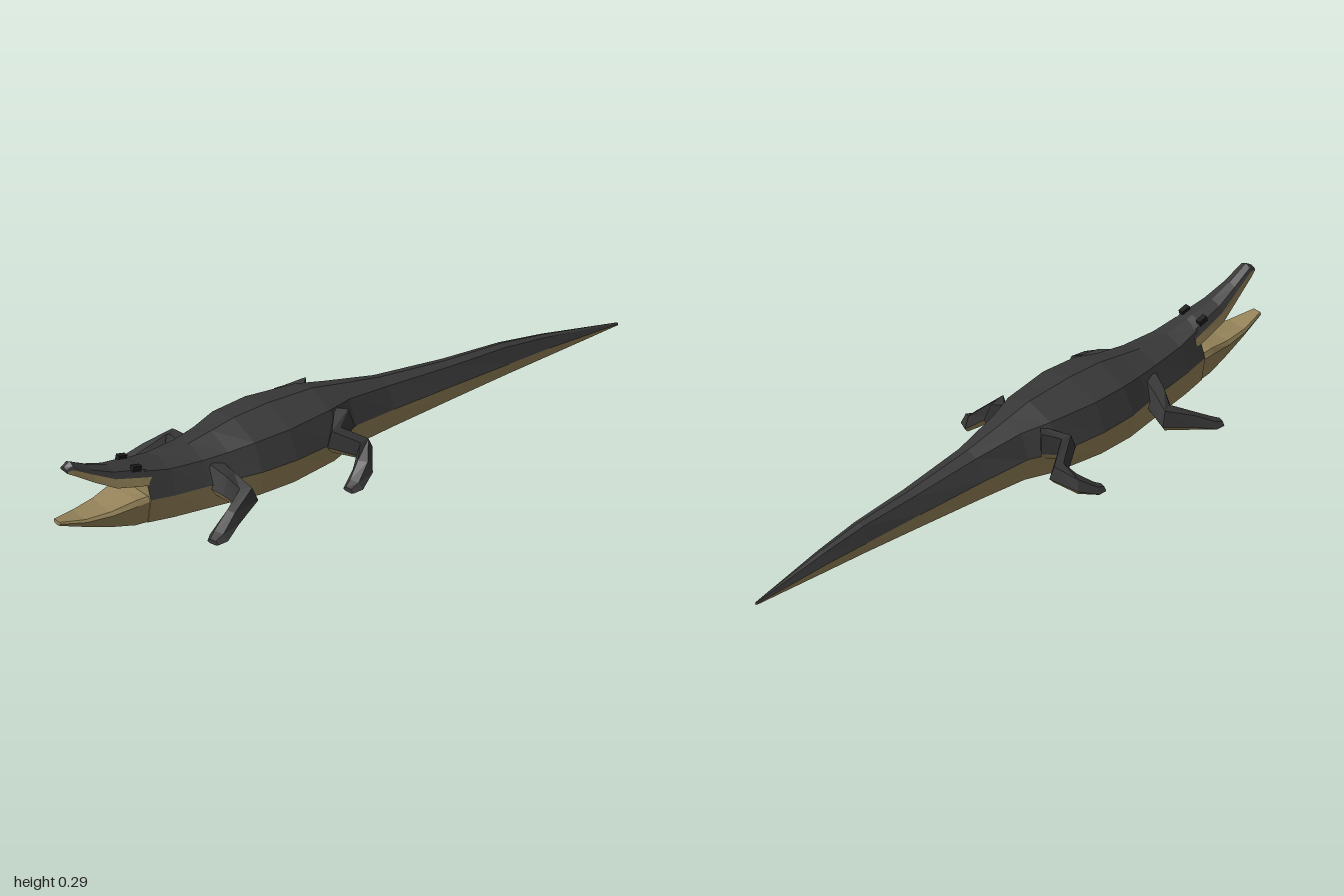
import * as THREE from 'three';

const darkHide = new THREE.MeshStandardMaterial({ name: 'darkHide', color: 0x383838, flatShading: true });
const tanBelly = new THREE.MeshStandardMaterial({ name: 'tanBelly', color: 0x96845a, flatShading: true });
const eyeBlack = new THREE.MeshStandardMaterial({ name: 'eyeBlack', color: 0x1c1c1c, flatShading: true });

// Skin rings of points into a closed mesh; isTan picks the colour of each strip
function loft(name, rings, isTan, capTan) {
  const sides = [[], []];
  const tri = (tan, ...pts) => pts.forEach(p => sides[tan ? 1 : 0].push(...p));
  const n = rings[0].length;
  for (let i = 0; i < rings.length - 1; i++) {
    for (let j = 0; j < n; j++) {
      const k = (j + 1) % n, a = rings[i][j], b = rings[i][k], c = rings[i + 1][k], d = rings[i + 1][j];
      tri(isTan(j), a, b, c);
      tri(isTan(j), a, c, d);
    }
  }
  const first = rings[0], last = rings[rings.length - 1];
  for (let j = 1; j < n - 1; j++) {
    tri(capTan, first[0], first[j + 1], first[j]);
    tri(capTan, last[0], last[j], last[j + 1]);
  }
  const geo = new THREE.BufferGeometry();
  geo.setAttribute('position', new THREE.Float32BufferAttribute([...sides[0], ...sides[1]], 3));
  geo.addGroup(0, sides[0].length / 3, 0);
  geo.addGroup(sides[0].length / 3, sides[1].length / 3, 1);
  geo.computeVertexNormals();
  const mesh = new THREE.Mesh(geo, [darkHide, tanBelly]);
  mesh.name = name;
  return mesh;
}

// Symmetric section: z, ridge y, shoulder x y, side x y, bottom x y, keel y
const section = ([z, top, sx, sy, wx, wy, bx, by, keel]) => [
  [0, top, z], [-sx, sy, z], [-wx, wy, z], [-bx, by, z],
  [0, keel, z], [bx, by, z], [wx, wy, z], [sx, sy, z],
];
const lowerHalf = j => j >= 2 && j <= 5;

// Leg: joints are [x, y, z, half width, half height], swept with a flat-bottomed section
const legProfile = [[0.5, 1], [-0.5, 1], [-1, -0.4], [-0.6, -1], [0.6, -1], [1, -0.4]];
function leg(name, joints, side) {
  const pts = joints.map(j => new THREE.Vector3(j[0] * side, j[1], j[2]));
  const up = new THREE.Vector3(0, 1, 0);
  const dir = i => pts[i + 1].clone().sub(pts[i]).setY(0).normalize();
  const rings = pts.map((p, i) => {
    const t = new THREE.Vector3();
    if (i > 0) t.add(dir(i - 1));
    if (i < pts.length - 1) t.add(dir(i));
    const across = up.clone().cross(t.normalize());
    const [, , , w, h] = joints[i];
    return legProfile.map(([u, v]) => p.clone().addScaledVector(across, u * w).addScaledVector(up, v * h).toArray());
  });
  return loft(name, rings, j => j >= 2 && j <= 4, false);
}

export function createModel() {
  const model = new THREE.Group();
  model.name = 'crocodile';

  // Tail tip through trunk to the back of the mouth
  const body = [
    [-1, 0.024, 0.002, 0.023, 0.004, 0.02, 0.003, 0.016, 0.014],
    [-0.74, 0.083, 0.012, 0.078, 0.026, 0.048, 0.02, 0.018, 0.012],
    [-0.59, 0.11, 0.017, 0.103, 0.036, 0.056, 0.028, 0.018, 0.011],
    [-0.39, 0.126, 0.024, 0.118, 0.05, 0.068, 0.042, 0.018, 0.01],
    [-0.155, 0.158, 0.036, 0.145, 0.072, 0.085, 0.06, 0.018, 0.007],
    [0, 0.192, 0.06, 0.172, 0.092, 0.097, 0.075, 0.018, 0.005],
    [0.09, 0.213, 0.088, 0.182, 0.135, 0.102, 0.11, 0.02, 0.004],
    [0.25, 0.222, 0.11, 0.187, 0.15, 0.104, 0.133, 0.02, 0.003],
    [0.37, 0.217, 0.104, 0.184, 0.144, 0.104, 0.13, 0.02, 0.003],
    [0.45, 0.203, 0.085, 0.172, 0.125, 0.102, 0.115, 0.02, 0.004],
    [0.53, 0.19, 0.07, 0.167, 0.108, 0.1, 0.1, 0.02, 0.005],
    [0.64, 0.188, 0.056, 0.172, 0.09, 0.1, 0.08, 0.02, 0.007],
    [0.72, 0.203, 0.045, 0.19, 0.076, 0.105, 0.062, 0.022, 0.011],
  ];
  model.add(loft('body', body.map(section), lowerHalf, true));

  // Raised upper jaw, with pale lips and palate
  const upperJaw = [
    [0.7, 0.196, 0.042, 0.186, 0.056, 0.168, 0.062, 0.145, 0.145],
    [0.74, 0.21, 0.04, 0.199, 0.052, 0.178, 0.06, 0.152, 0.152],
    [0.82, 0.226, 0.031, 0.217, 0.042, 0.198, 0.049, 0.17, 0.17],
    [0.89, 0.254, 0.022, 0.246, 0.03, 0.234, 0.034, 0.209, 0.209],
    [0.955, 0.289, 0.017, 0.281, 0.022, 0.27, 0.023, 0.251, 0.251],
    [0.975, 0.275, 0.013, 0.272, 0.017, 0.267, 0.017, 0.262, 0.262],
  ];
  model.add(loft('upperJaw', upperJaw.map(section), lowerHalf, false));

  // Lower jaw
  const lowerJaw = [
    [0.7, 0.11, 0.065, 0.113, 0.075, 0.1, 0.062, 0.022, 0.011],
    [0.76, 0.105, 0.06, 0.112, 0.068, 0.095, 0.055, 0.024, 0.012],
    [0.84, 0.09, 0.046, 0.096, 0.054, 0.085, 0.04, 0.04, 0.028],
    [0.92, 0.088, 0.033, 0.093, 0.038, 0.085, 0.028, 0.065, 0.058],
    [1, 0.102, 0.013, 0.103, 0.016, 0.098, 0.013, 0.091, 0.088],
  ];
  model.add(loft('lowerJaw', lowerJaw.map(section), () => true, true));

  // Legs and eyes, mirrored
  for (const side of [1, -1]) {
    const label = side > 0 ? 'left' : 'right';
    model.add(leg(label + 'FrontLeg', [
      [0.08, 0.11, 0.495, 0.04, 0.045],
      [0.135, 0.095, 0.48, 0.034, 0.04],
      [0.188, 0.075, 0.462, 0.036, 0.032],
      [0.215, 0.045, 0.535, 0.028, 0.024],
      [0.238, 0.019, 0.595, 0.032, 0.013],
      [0.246, 0.013, 0.622, 0.02, 0.007],
    ], side));
    model.add(leg(label + 'HindLeg', [
      [0.09, 0.135, 0.05, 0.04, 0.04],
      [0.14, 0.115, 0.105, 0.034, 0.035],
      [0.182, 0.08, 0.035, 0.033, 0.026],
      [0.222, 0.045, 0.07, 0.03, 0.024],
      [0.247, 0.019, 0.118, 0.03, 0.013],
      [0.252, 0.013, 0.143, 0.02, 0.007],
    ], side));
    const eye = new THREE.Mesh(new THREE.BoxGeometry(0.016, 0.018, 0.03), eyeBlack);
    eye.name = label + 'Eye';
    eye.position.set(0.036 * side, 0.205, 0.745);
    eye.rotation.x = -0.25;
    model.add(eye);
  }
  return model;
}
